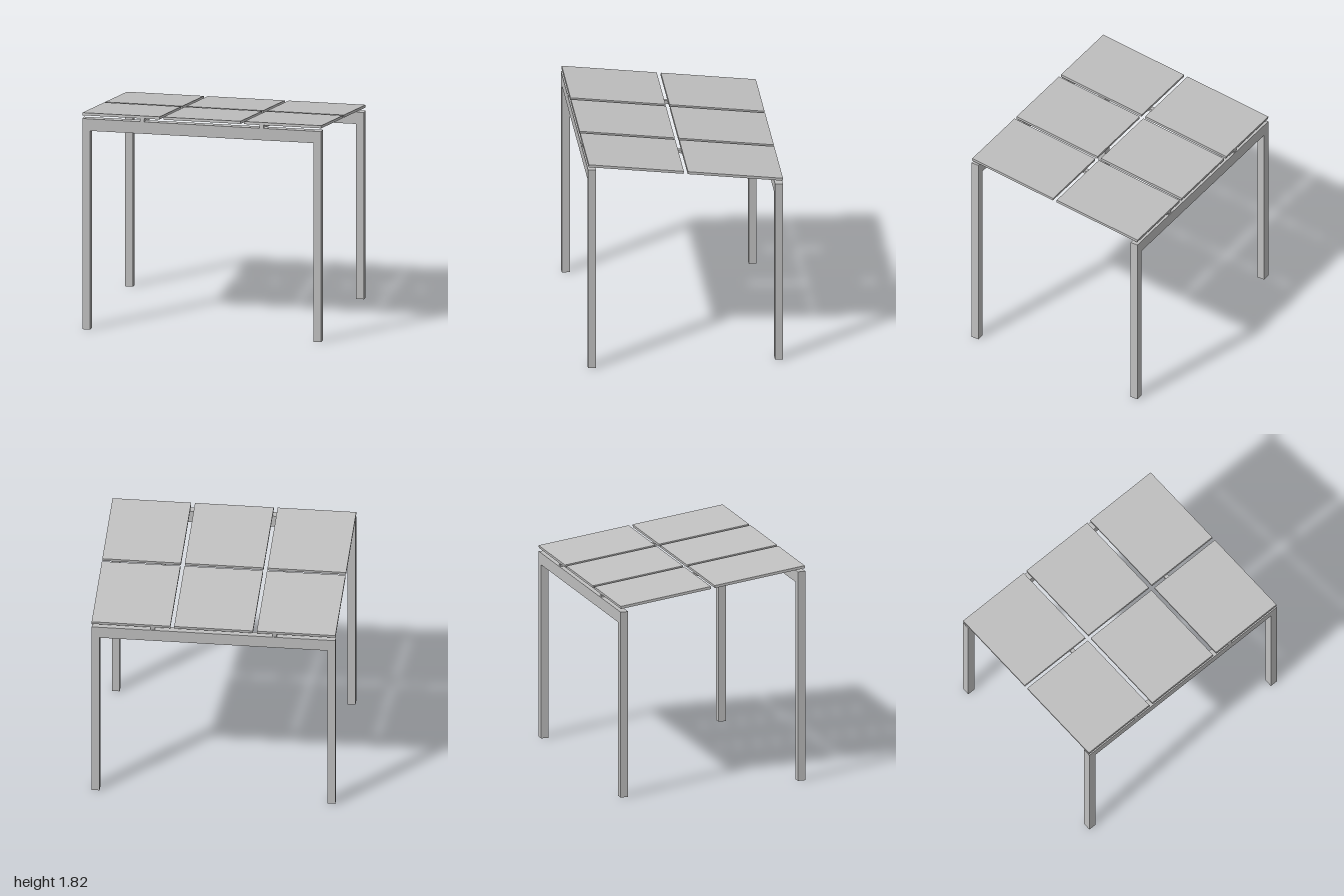
import * as THREE from 'three';

export function createModel() {
  const model = new THREE.Group();
  model.name = 'canopy';
  const grey = new THREE.MeshStandardMaterial({ color: 0xc0c0c0 });
  grey.name = 'light grey';

  // Box given by its min and max corners
  function box(parent, name, [x0, y0, z0], [x1, y1, z1]) {
    const mesh = new THREE.Mesh(new THREE.BoxGeometry(x1 - x0, y1 - y0, z1 - z0), grey);
    mesh.position.set((x0 + x1) / 2, (y0 + y1) / 2, (z0 + z1) / 2);
    mesh.name = name;
    parent.add(mesh);
  }

  // Front (tall) and back (short) portal frames: two posts and a beam
  const P = 0.065;
  for (const [label, z, top] of [['front', 0.8 - P, 1.768], ['back', -0.8, 1.568]]) {
    const frame = new THREE.Group();
    frame.name = label + 'Frame';
    box(frame, label + 'RightPost', [-1, 0, z], [-1 + P, top, z + P]);
    box(frame, label + 'LeftPost', [1 - P, 0, z], [1, top, z + P]);
    box(frame, label + 'Beam', [-1 + P, top - 0.1, z], [1 - P, top, z + P]);
    model.add(frame);
  }

  // Sloping roof, built flat and tilted about x
  const roof = new THREE.Group();
  roof.name = 'roof';
  roof.position.set(0, 1.668, 0.003);
  roof.rotation.x = -Math.atan(0.125);
  model.add(roof);
  const half = 0.803, railTop = 0.027, roofTop = 0.049;

  // Two rails carrying the panels
  for (const x of [-0.5, 0.5])
    box(roof, 'rail', [x - 0.018, 0, -half], [x + 0.018, railTop, half]);

  // Six panels, three across and two deep, with gaps between
  for (const [x0, x1] of [[-1, -0.355], [-0.323, 0.323], [0.355, 1]])
    for (const [z0, z1] of [[-half, -0.017], [0.017, half]])
      box(roof, 'panel', [x0, railTop, z0], [x1, roofTop, z1]);

  return model;
}
